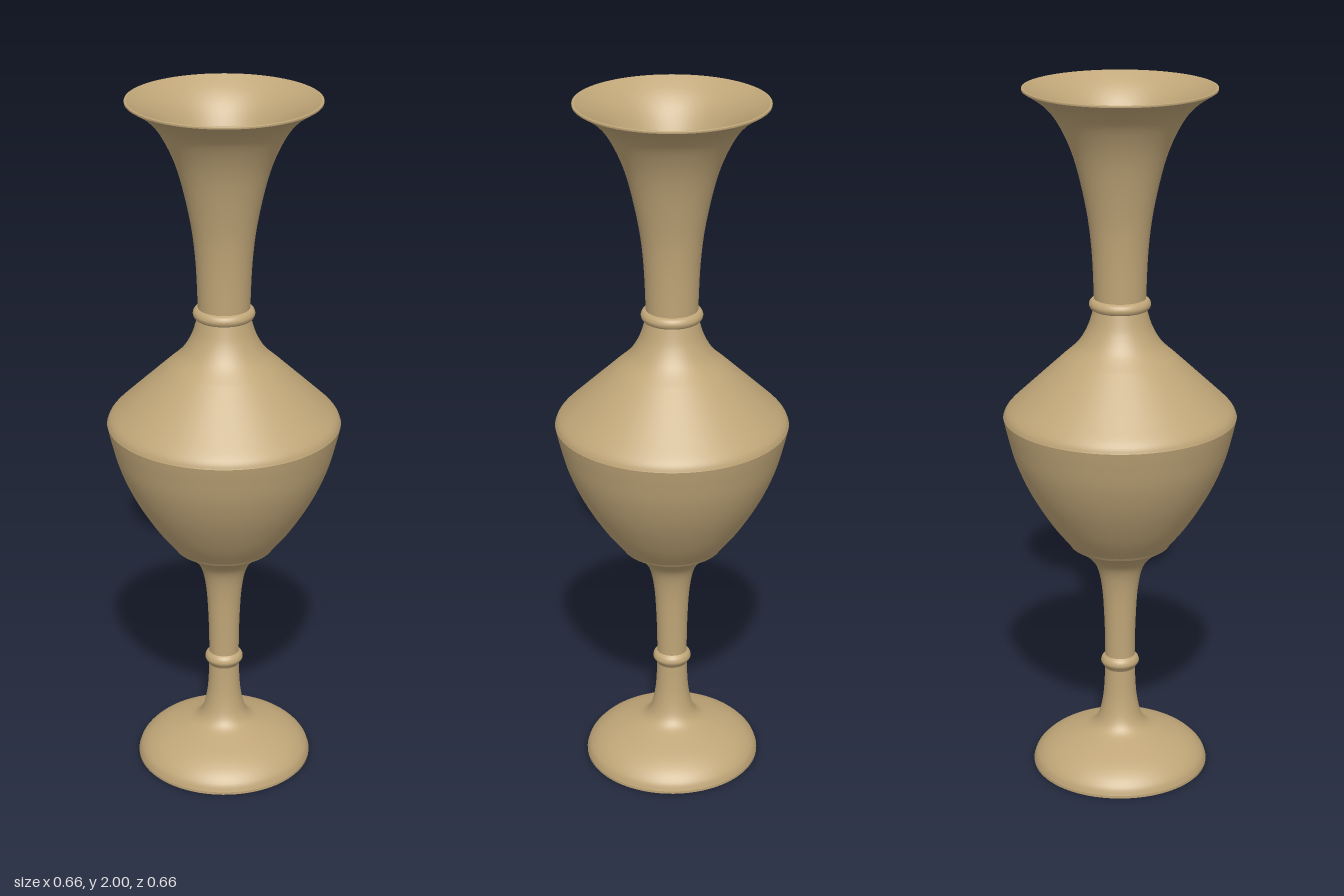
import * as THREE from 'three';

export function createModel() {
  const model = new THREE.Group();
  const clay = new THREE.MeshStandardMaterial({ color: 0xc0a678 });
  clay.name = 'sand clay';

  // Turns a smooth profile of [radius, height] points into a named part.
  function turn(name, profile, steps = 24) {
    const points = profile.map(([r, y]) => new THREE.Vector2(r, y));
    const path = points.length > 2 ? new THREE.SplineCurve(points).getPoints(steps) : points;
    path.forEach((p) => { p.x = Math.max(p.x, 0); });
    const mesh = new THREE.Mesh(new THREE.LatheGeometry(path, 96), clay);
    mesh.name = name;
    model.add(mesh);
  }

  // Foot, hollow underneath
  turn('footCeiling', [[0, 0.04], [0.147, 0.04]]);
  turn('footUnderside', [[0.147, 0.04], [0.2, 0.028], [0.245, 0]]);
  turn('footRim', [[0.245, 0], [0.254, 0]]);
  turn('footEdge', [[0.254, 0], [0.254, 0.008]]);
  turn('foot', [[0.254, 0.008], [0.245, 0.03], [0.22, 0.055], [0.18, 0.078], [0.122, 0.1]]);

  // Stem with its bead
  turn('lowerStem', [[0.122, 0.1], [0.085, 0.116], [0.063, 0.145], [0.05, 0.2], [0.045, 0.26], [0.043, 0.335]]);
  turn('stemBead', [[0.043, 0.298], [0.048, 0.306], [0.055, 0.318], [0.052, 0.331], [0.043, 0.34]]);
  turn('upperStem', [[0.043, 0.33], [0.045, 0.44], [0.052, 0.55], [0.068, 0.62], [0.1, 0.66], [0.143, 0.69]]);

  // Body
  turn('bodyStep', [[0.143, 0.69], [0.148, 0.698]]);
  turn('belly', [[0.148, 0.698], [0.2, 0.765], [0.257, 0.86], [0.296, 0.95], [0.318, 1.03], [0.328, 1.075]]);
  turn('shoulder', [[0.328, 1.075], [0.316, 1.098], [0.27, 1.143], [0.16, 1.247]]);
  turn('upperShoulder', [[0.16, 1.247], [0.118, 1.287], [0.09, 1.335], [0.073, 1.39]]);

  // Neck ring
  turn('neckRing', [[0.07, 1.385], [0.081, 1.388], [0.086, 1.4], [0.081, 1.412], [0.07, 1.418]]);

  // Flared neck, lip and hollow inside
  turn('neck', [[0.072, 1.41], [0.078, 1.55], [0.093, 1.67], [0.126, 1.81], [0.168, 1.905], [0.21, 1.957], [0.264, 1.994]], 36);
  turn('lip', [[0.264, 1.994], [0.264, 2], [0.258, 2]], 6);
  turn('neckInside', [[0.258, 2], [0.203, 1.96], [0.161, 1.906], [0.119, 1.81], [0.086, 1.67], [0.071, 1.55], [0.064, 1.42], [0.046, 1.3]], 40);
  turn('neckFloor', [[0.046, 1.3], [0, 1.3]]);

  return model;
}
